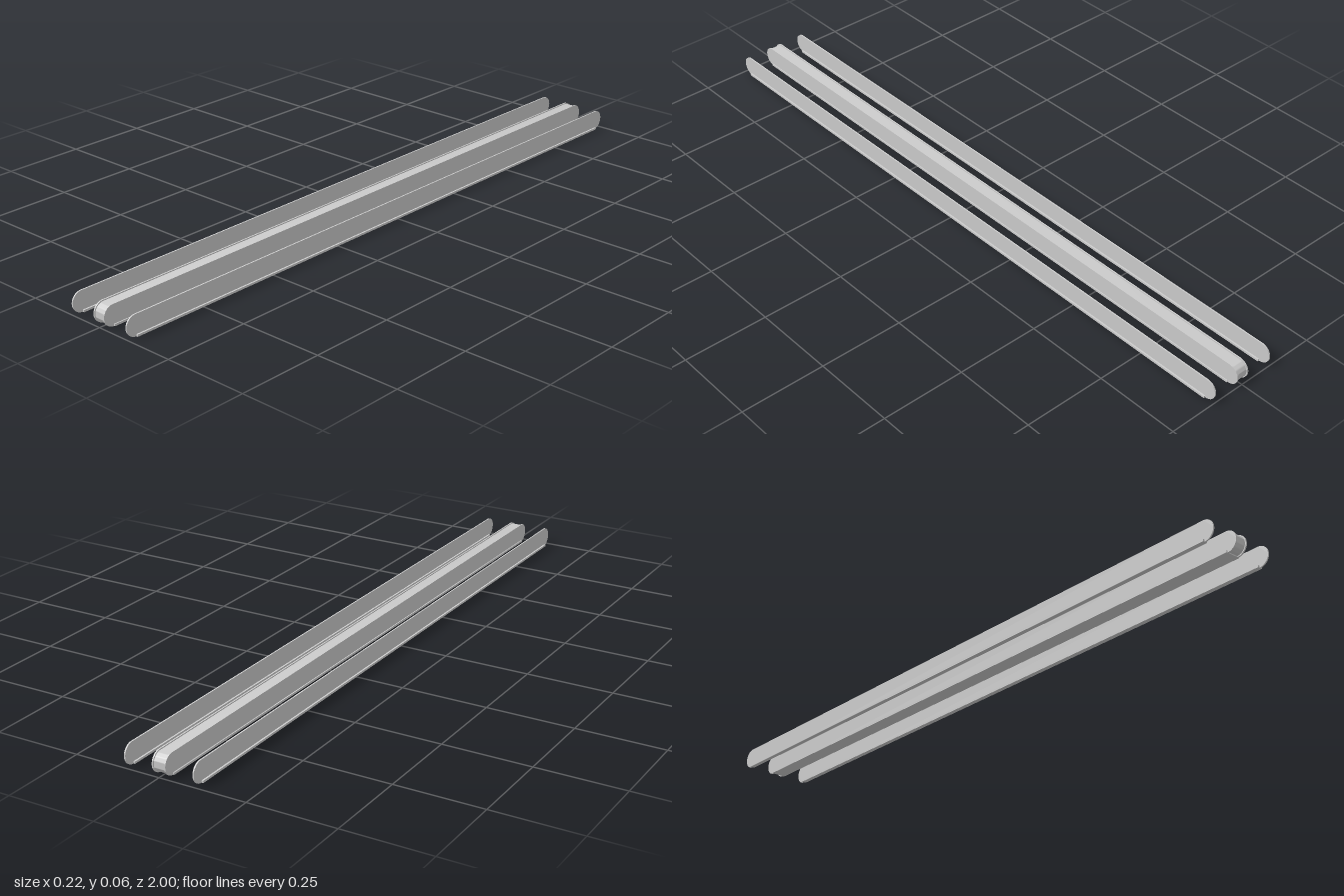
import * as THREE from 'three';
import { toCreasedNormals } from 'three/addons/utils/BufferGeometryUtils.js';

const HEIGHT = 0.06;
const LENGTH = 2;
const material = new THREE.MeshStandardMaterial({ color: 0xcccccc });

function addMesh(parent, name, geometry, x, y) {
  const mesh = new THREE.Mesh(geometry, material);
  mesh.name = name;
  mesh.position.set(x, y, 0);
  parent.add(mesh);
}

// Long round-ended slab standing on edge along z, centred on the origin
function slab(thickness, inset) {
  const r = HEIGHT / 2 - inset;
  const half = LENGTH / 2 - HEIGHT / 2;
  const shape = new THREE.Shape();
  shape.moveTo(-half, -r);
  shape.lineTo(half, -r);
  shape.absarc(half, 0, r, -Math.PI / 2, Math.PI / 2, false);
  shape.lineTo(-half, r);
  shape.absarc(-half, 0, r, Math.PI / 2, Math.PI * 1.5, false);
  const geometry = new THREE.ExtrudeGeometry(shape, {
    depth: thickness, bevelEnabled: false, curveSegments: 16,
  });
  geometry.translate(0, 0, -thickness / 2).rotateY(Math.PI / 2);
  return toCreasedNormals(geometry, 0.6);
}

export function createModel() {
  const model = new THREE.Group();
  model.name = 'conveyorTrack';
  const footLength = LENGTH - HEIGHT;

  // Central belt running between two cheek plates on a flat base
  const center = new THREE.Group();
  center.name = 'centralBelt';
  addMesh(center, 'belt', slab(0.034, 0.003), 0, HEIGHT / 2);
  addMesh(center, 'beltBase', new THREE.BoxGeometry(0.046, 0.006, footLength), 0, 0.003);
  model.add(center);

  for (const [side, s] of [['left', 1], ['right', -1]]) {
    addMesh(center, side + 'BeltPlate', slab(0.004, 0), s * 0.018, HEIGHT / 2);

    // Outer guide rail with its foot strip
    const rail = new THREE.Group();
    rail.name = side + 'GuideRail';
    addMesh(rail, 'railPlate', slab(0.004, 0), s * 0.101, HEIGHT / 2);
    addMesh(rail, 'railFoot', new THREE.BoxGeometry(0.014, 0.006, footLength), s * 0.101, 0.003);
    model.add(rail);
  }
  return model;
}
